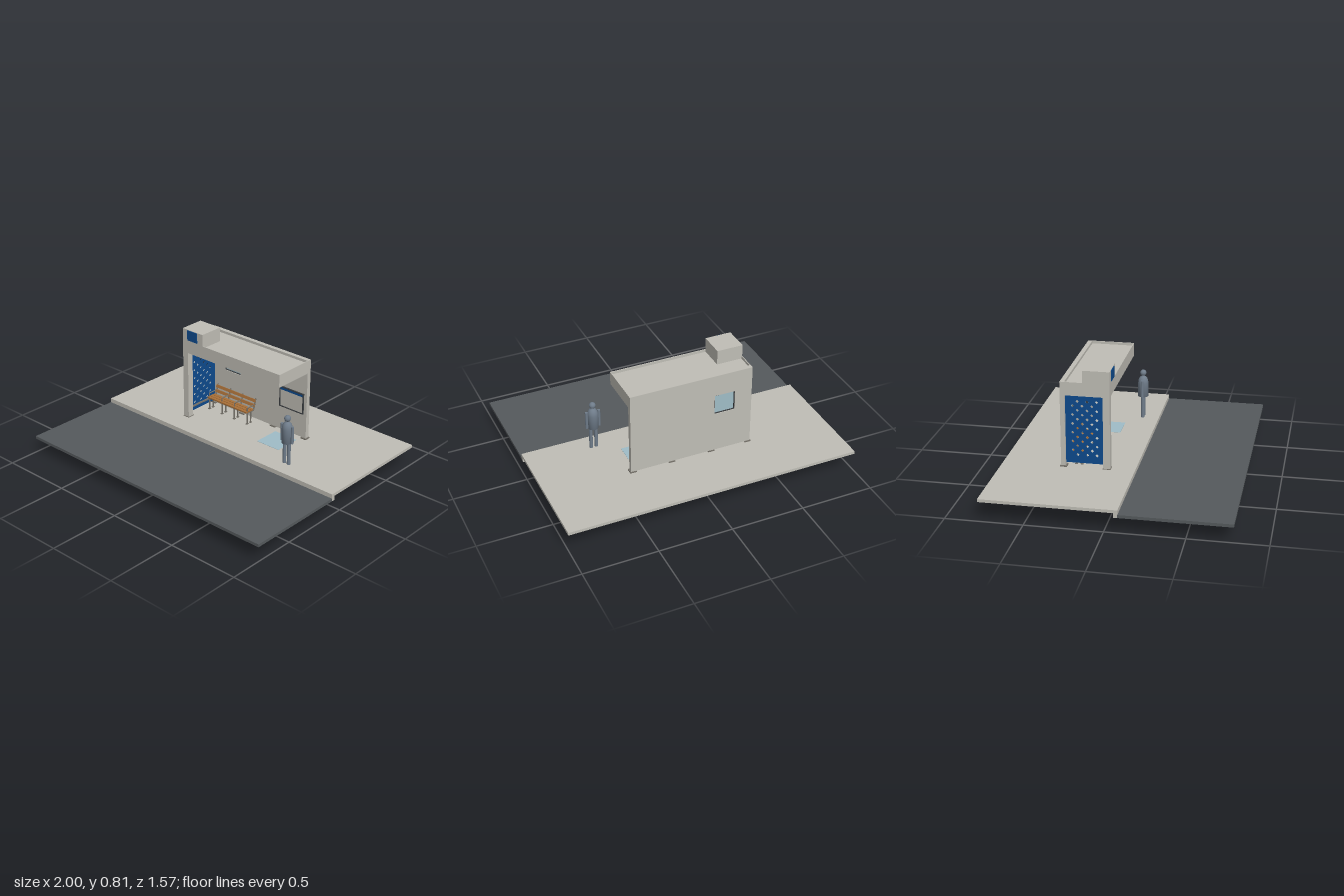
import * as THREE from 'three';

const mat = (name, color, extra = {}) => {
  const m = new THREE.MeshStandardMaterial({ color, ...extra });
  m.name = name;
  return m;
};

export function createModel() {
  const root = new THREE.Group();
  root.name = 'busShelter';
  const concrete = mat('concrete', 0xbfbdb5);
  const asphalt = mat('asphalt', 0x55595c);
  const blue = mat('blue', 0x0d4a8c);
  const glass = mat('glass', 0x9fbcc6);
  const wood = mat('wood', 0xa86f38);
  const steel = mat('steel', 0x77736b);
  const dark = mat('darkFrame', 0x3a3d40);
  const slate = mat('slate', 0x6f7c8a);

  const add = (name, geo, m, x = 0, y = 0, z = 0, parent = root) => {
    const mesh = new THREE.Mesh(geo, m);
    mesh.name = name;
    mesh.position.set(x, y, z);
    parent.add(mesh);
    return mesh;
  };
  // Box given by its minimum and maximum on each axis
  const box = (name, m, x0, x1, y0, y1, z0, z1, parent = root) =>
    add(name, new THREE.BoxGeometry(x1 - x0, y1 - y0, z1 - z0), m,
      (x0 + x1) / 2, (y0 + y1) / 2, (z0 + z1) / 2, parent);
  const rect = (Type, x0, x1, y0, y1) => new Type([
    new THREE.Vector2(x0, y0), new THREE.Vector2(x1, y0),
    new THREE.Vector2(x1, y1), new THREE.Vector2(x0, y1)]);
  const group = (name) => {
    const g = new THREE.Group();
    g.name = name;
    root.add(g);
    return g;
  };
  // Rectangular border of four bars
  const frame = (name, m, x0, x1, y0, y1, z0, z1, t, parent = root) => {
    box(name, m, x0, x1, y0, y0 + t, z0, z1, parent);
    box(name, m, x0, x1, y1 - t, y1, z0, z1, parent);
    box(name, m, x0, x0 + t, y0 + t, y1 - t, z0, z1, parent);
    box(name, m, x1 - t, x1, y0 + t, y1 - t, z0, z1, parent);
  };

  // Ground: pavement with a deeper kerb, and the road
  box('pavement', concrete, -1, 1, 0.13, 0.15, -0.785, 0.06);
  box('kerb', concrete, -1, 1, 0.1, 0.15, 0.06, 0.085);
  box('road', asphalt, -1, 1, 0.1, 0.12, 0.085, 0.785);

  // Foundations below the pavement, base plates above
  for (const x of [-0.418, -0.143, 0.139, 0.414]) {
    box('foundation', concrete, x - 0.06, x + 0.06, 0, 0.13, -0.44, -0.32);
    const c = THREE.MathUtils.clamp(x, -0.41, 0.41);
    box('basePlate', steel, c - 0.022, c + 0.022, 0.15, 0.158, -0.402, -0.358);
  }
  box('postFoundation', concrete, -0.462, -0.342, 0, 0.13, -0.153, -0.035);
  box('postBasePlate', steel, -0.428, -0.377, 0.15, 0.154, -0.123, -0.072);

  // Back wall with a window opening
  const wall = rect(THREE.Shape, -0.425, 0.425, 0.157, 0.73);
  wall.holes.push(rect(THREE.Path, -0.305, -0.16, 0.44, 0.58));
  add('backWall', new THREE.ExtrudeGeometry(wall, { depth: 0.03, bevelEnabled: false }), concrete, 0, 0, -0.397);
  box('windowPane', glass, -0.3, -0.165, 0.445, 0.575, -0.386, -0.378);
  frame('windowFrame', dark, -0.305, -0.16, 0.44, 0.58, -0.392, -0.372, 0.004);

  // Roof slab with thin raised edges, corner post and tower
  box('roof', concrete, -0.425, 0.425, 0.64, 0.712, -0.367, -0.075);
  box('frontRoofEdge', concrete, -0.425, 0.425, 0.712, 0.73, -0.081, -0.075);
  for (const x of [-0.425, 0.419])
    box('sideRoofEdge', concrete, x, x + 0.006, 0.712, 0.73, -0.367, -0.081);
  box('cornerPost', concrete, -0.425, -0.38, 0.15, 0.64, -0.12, -0.075);
  box('tower', concrete, -0.425, -0.245, 0.712, 0.812, -0.25, -0.075);
  box('towerSign', blue, -0.38, -0.292, 0.737, 0.809, -0.075, -0.07);

  // Perforated side screen: staggered diamond holes
  const screen = rect(THREE.Shape, 0.12, 0.367, 0.175, 0.64);
  const r = 0.0115, pitch = 0.0315;
  for (let row = 0; row < 13; row++) {
    for (let col = row % 2; col < 6; col += 2) {
      const cx = 0.163 + col * pitch, cy = 0.597 - row * 0.0305;
      screen.holes.push(new THREE.Path([
        new THREE.Vector2(cx - r, cy), new THREE.Vector2(cx, cy - r),
        new THREE.Vector2(cx + r, cy), new THREE.Vector2(cx, cy + r)]));
    }
  }
  const screenGeo = new THREE.ExtrudeGeometry(screen, { depth: 0.006, bevelEnabled: false });
  screenGeo.rotateY(Math.PI / 2);
  add('sideScreen', screenGeo, blue, -0.407, 0, 0);
  for (const y of [0.21, 0.61])
    box('screenRail', steel, -0.401, -0.391, y - 0.005, y + 0.005, -0.37, -0.115);

  // Notice board on the back wall
  const board = group('noticeBoard');
  box('boardPanel', concrete, 0.2, 0.4, 0.335, 0.48, -0.367, -0.361, board);
  frame('boardFrame', dark, 0.198, 0.402, 0.333, 0.482, -0.367, -0.356, 0.006, board);
  box('boardHeader', blue, 0.204, 0.396, 0.459, 0.476, -0.361, -0.358, board);

  // Loose pane lying on the pavement
  box('floorPane', glass, 0.2, 0.385, 0.15, 0.152, -0.32, -0.13);

  // Bench
  const bench = group('bench');
  const rod = (name, a, b, rad) => {
    const curve = new THREE.LineCurve3(new THREE.Vector3(...a), new THREE.Vector3(...b));
    add(name, new THREE.TubeGeometry(curve, 1, rad, 8), steel, 0, 0, 0, bench);
  };
  for (const x of [-0.365, -0.246, -0.131, -0.014]) {
    for (const z of [-0.272, -0.308]) {
      rod('benchLeg', [x, 0.15, z], [x, 0.236, z], 0.005);
      box('benchFoot', steel, x - 0.008, x + 0.008, 0.15, 0.154, z - 0.009, z + 0.009, bench);
    }
    rod('seatBearer', [x, 0.234, -0.262], [x, 0.234, -0.34], 0.005);
    rod('backSupport', [x, 0.234, -0.338], [x, 0.316, -0.362], 0.005);
    rod('armPost', [x, 0.236, -0.272], [x, 0.272, -0.272], 0.004);
    rod('armRest', [x, 0.272, -0.268], [x, 0.272, -0.346], 0.004);
  }
  for (const z of [-0.268, -0.294, -0.32])
    box('seatSlat', wood, -0.37, -0.01, 0.237, 0.247, z - 0.011, z + 0.011, bench);
  for (const [y, z] of [[0.268, -0.341], [0.3, -0.351]]) {
    const slat = add('backSlat', new THREE.BoxGeometry(0.36, 0.02, 0.008), wood, -0.19, y, z, bench);
    slat.rotation.x = -0.28;
  }

  // Waiting figure
  const figure = group('figure');
  figure.position.set(0.537, 0.15, -0.03);
  const body = [[0, 0.155], [0.036, 0.155], [0.036, 0.255], [0.034, 0.272], [0.028, 0.288],
    [0.019, 0.299], [0.01, 0.304], [0.01, 0.312], [0, 0.312]]
    .map(([x, y]) => new THREE.Vector2(x, y));
  add('torso', new THREE.LatheGeometry(body, 24), slate, 0, 0, 0, figure);
  add('head', new THREE.SphereGeometry(0.022, 20, 14), slate, 0, 0.327, 0, figure);
  for (const s of [-1, 1]) {
    add('leg', new THREE.CylinderGeometry(0.012, 0.012, 0.16, 16), slate, s * 0.018, 0.08, 0, figure);
    add('arm', new THREE.CylinderGeometry(0.01, 0.01, 0.12, 14), slate, s * 0.043, 0.22, 0, figure);
  }
  return root;
}
